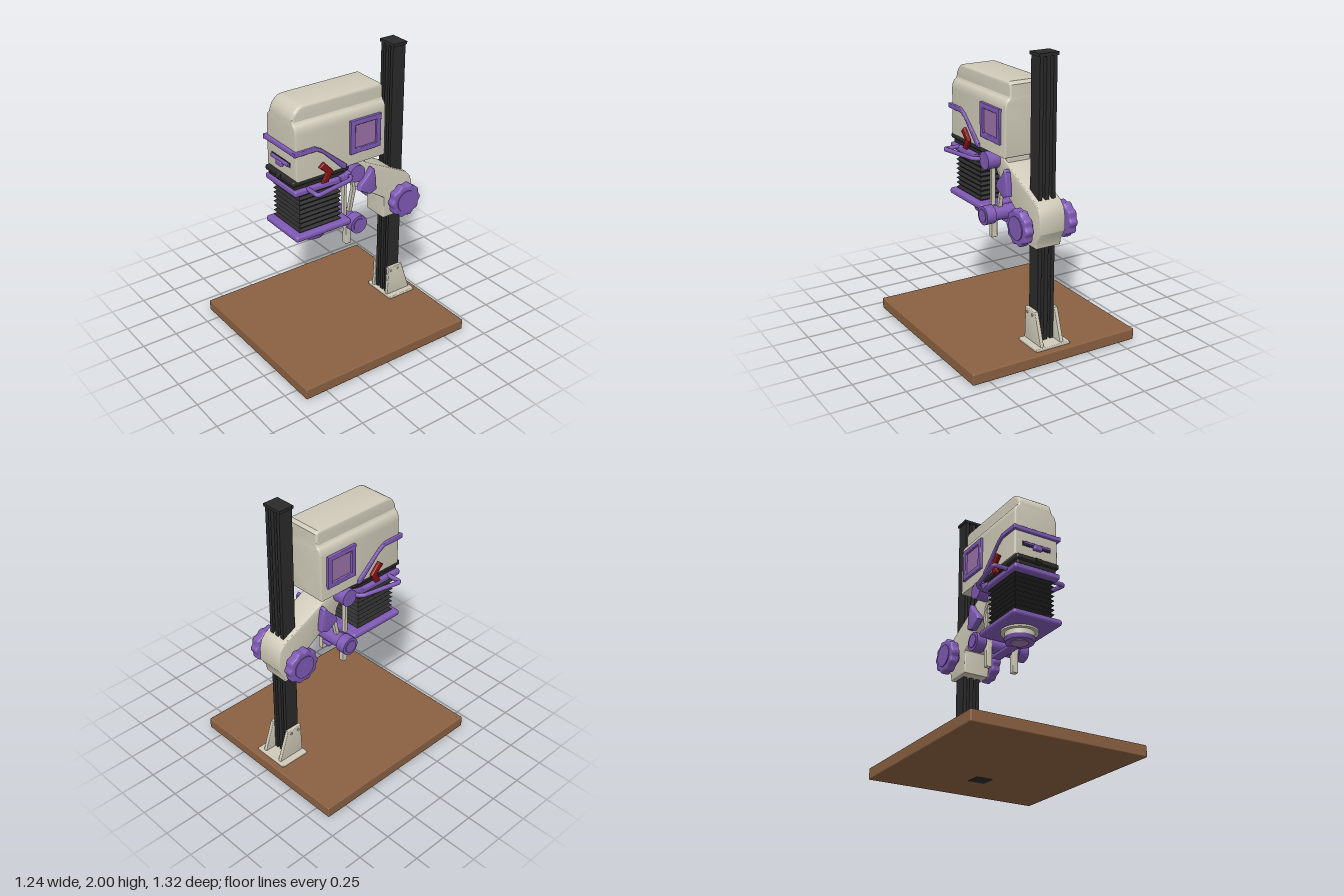
import * as THREE from 'three';
import { toCreasedNormals } from 'three/addons/utils/BufferGeometryUtils.js';
import { RoundedBoxGeometry } from 'three/addons/geometries/RoundedBoxGeometry.js';

const paint = (name, color) => {
  const m = new THREE.MeshStandardMaterial({ color });
  m.name = name;
  return m;
};

export function createModel() {
  const root = new THREE.Group();
  root.name = 'enlarger';
  const wood = paint('wood', 0x8b6142);
  const cream = paint('cream', 0xcfcab8);
  const black = paint('black', 0x2a2a2a);
  const purple = paint('purple', 0x7f5ab5);
  const lilac = paint('lilac', 0x9a72a6);
  const red = paint('red', 0x8a1216);

  const add = (name, geo, mat) => {
    const m = new THREE.Mesh(geo, mat);
    m.name = name;
    root.add(m);
    return m;
  };
  // Box from its limits, with optional rounded edges
  const box = (name, mat, x0, x1, y0, y1, z0, z1, r = 0) => {
    const s = [x1 - x0, y1 - y0, z1 - z0];
    const g = r ? new RoundedBoxGeometry(...s, 2, r) : new THREE.BoxGeometry(...s);
    return add(name, g.translate((x0 + x1) / 2, (y0 + y1) / 2, (z0 + z1) / 2), mat);
  };
  const extrude = (shape, depth, b) => toCreasedNormals(new THREE.ExtrudeGeometry(shape, {
    depth: depth - 2 * b, bevelEnabled: b > 0, bevelSize: b, bevelThickness: b,
    bevelOffset: -b, bevelSegments: 3, curveSegments: 8,
  }).translate(0, 0, b), 0.6);
  const poly = (pts) => new THREE.Shape(pts.map(([a, b]) => new THREE.Vector2(a, b)));
  // Side outline given as [z, y], spanning x0 to x1
  const sidePlate = (name, mat, pts, x0, x1, b = 0) =>
    add(name, extrude(poly(pts.map(([z, y]) => [-z, y])), x1 - x0, b).rotateY(Math.PI / 2).translate(x0, 0, 0), mat);
  // Cylinder lying along x
  const axle = (name, mat, r, x0, x1, y, z) =>
    add(name, new THREE.CylinderGeometry(r, r, x1 - x0, 28).rotateZ(Math.PI / 2).translate((x0 + x1) / 2, y, z), mat);
  const disc = (name, mat, rTop, rBottom, y0, y1, z) =>
    add(name, new THREE.CylinderGeometry(rTop, rBottom, y1 - y0, 36).translate(0, (y0 + y1) / 2, z), mat);
  const sides = (f) => [1, -1].forEach((s) => f(s, (a, b) => (s > 0 ? [a, b] : [-b, -a])));

  // Baseboard with a fixing plate below
  box('baseboard', wood, -0.62, 0.62, 0.002, 0.08, -0.66, 0.66, 0.008);
  box('fixingPlate', black, -0.06, 0.06, 0, 0.006, -0.34, -0.23);

  // Column of three rails with a cap
  for (const [a, b] of [[-0.062, -0.036], [-0.015, 0.015], [0.036, 0.062]])
    box('columnRail', black, a, b, 0.1, 1.985, -0.52, -0.42);
  box('columnCap', black, -0.072, 0.072, 1.98, 2, -0.525, -0.415);

  // Column foot
  box('footPlate', cream, -0.13, 0.13, 0.08, 0.1, -0.62, -0.4, 0.006);
  sides((s, m) => {
    sidePlate('footGusset', cream, [[-0.405, 0.095], [-0.415, 0.32], [-0.53, 0.32], [-0.605, 0.095]], ...m(0.062, 0.088), 0.005);
    for (const z of [-0.44, -0.5]) axle('footBolt', cream, 0.01, ...m(0.088, 0.094), 0.29, z);
  });

  // Lamp head: shouldered lower casing and a narrower raised cover
  const casing = new THREE.Shape();
  casing.moveTo(-0.167, 1.3);
  casing.lineTo(0.167, 1.3);
  casing.lineTo(0.165, 1.61);
  casing.quadraticCurveTo(0.165, 1.655, 0.145, 1.675);
  casing.quadraticCurveTo(0.128, 1.685, 0.127, 1.71);
  casing.lineTo(-0.127, 1.71);
  casing.quadraticCurveTo(-0.128, 1.685, -0.145, 1.675);
  casing.quadraticCurveTo(-0.165, 1.655, -0.165, 1.61);
  add('headCasing', extrude(casing, 0.7, 0.012).translate(0, 0, -0.29), cream);
  const cover = [[-0.29, 1.32], [0.405, 1.32], [0.41, 1.69]];
  for (let i = 1; i <= 8; i++) {
    const a = (i / 8) * Math.PI / 2;
    cover.push([0.31 + 0.1 * Math.cos(a), 1.69 + 0.1 * Math.sin(a)]);
  }
  cover.push([-0.27, 1.79], [-0.29, 1.77]);
  sidePlate('headCover', cream, cover, -0.13, 0.13, 0.018);

  // Trim rail round the head, side windows and red levers
  box('frontTrim', purple, -0.18, 0.18, 1.48, 1.512, 0.405, 0.43, 0.008);
  sides((s, m) => {
    sidePlate('sideTrim', purple, [[0.43, 1.48], [0.43, 1.512], [0.27, 1.512], [0.22, 1.485], [0.03, 1.325],
      [0.03, 1.295], [0.06, 1.3], [0.21, 1.45], [0.26, 1.48]], ...m(0.16, 0.183), 0.006);
    const frame = poly([[0, 1.38], [0.24, 1.38], [0.24, 1.612], [0, 1.612]]);
    frame.holes.push(new THREE.Path([[0.037, 1.415], [0.037, 1.577], [0.203, 1.577], [0.203, 1.415]]
      .map(([a, b]) => new THREE.Vector2(a, b))));
    add('windowFrame', extrude(frame, 0.025, 0.005).rotateY(Math.PI / 2).translate(m(0.16, 0.185)[0], 0, 0), purple);
    box('windowPane', lilac, ...m(0.164, 0.171), 1.4, 1.59, -0.215, -0.02);
    sidePlate('redLever', red, [[0.245, 1.36], [0.21, 1.39], [0.14, 1.315], [0.18, 1.245], [0.225, 1.245], [0.19, 1.31]],
      ...m(0.165, 0.19), 0.006);
  });

  // Front pull
  box('frontPull', purple, -0.1, 0.1, 1.385, 1.405, 0.41, 0.43, 0.005);
  box('frontPullGrip', purple, -0.032, 0.032, 1.36, 1.395, 0.41, 0.438, 0.008);
  box('frontPullSlot', black, -0.107, 0.107, 1.378, 1.411, 0.408, 0.413);

  // Negative stage: black carrier over a purple tray with side handles
  box('upperCarrier', black, -0.163, 0.163, 1.265, 1.302, 0.0, 0.432, 0.012);
  box('lowerCarrier', black, -0.15, 0.15, 1.235, 1.27, 0.02, 0.415, 0.01);
  axle('carrierCatch', black, 0.022, -0.02, 0.02, 1.28, 0.425);
  box('stageTray', purple, -0.175, 0.175, 1.195, 1.238, 0.0, 0.425, 0.014);
  sides((s) => {
    const path = new THREE.CurvePath();
    const p = [[0.16, 0.0], [0.2, 0.01], [0.222, 0.04], [0.272, 0.31], [0.26, 0.322], [0.16, 0.322]]
      .map(([x, z]) => new THREE.Vector3(s * x, 1.228, z));
    for (let i = 1; i < p.length; i++) path.add(new THREE.LineCurve3(p[i - 1], p[i]));
    add('stageHandle', new THREE.TubeGeometry(path, 60, 0.015, 10), purple);
    sidePlate('handleBracket', purple, [[0.08, 1.21], [0.08, 1.24], [-0.04, 1.265], [-0.05, 1.2]], ...(s > 0 ? [0.14, 0.18] : [-0.18, -0.14]), 0.006);
    // Stage pivot knobs
    axle('pivotKnob', purple, 0.06, ...(s > 0 ? [0.09, 0.185] : [-0.185, -0.09]), 1.23, -0.055);
  });

  // Bellows: stacked square pleats
  const pleats = 9, h = 0.3 / pleats;
  for (let i = 0; i < pleats; i++) {
    for (const up of [0, 1]) {
      const rOut = 0.165 * Math.SQRT2, rIn = 0.147 * Math.SQRT2;
      const g = new THREE.CylinderGeometry(up ? rIn : rOut, up ? rOut : rIn, h / 2, 4, 1, true, Math.PI / 4);
      g.scale(0.92, 1, 1).translate(0, 0.905 + (i + 0.25 + up * 0.5) * h, 0.218);
      add('bellowsPleat', toCreasedNormals(g, 0.3), black);
    }
  }

  // Lens stage, lens and filter arm
  box('lensStage', purple, -0.185, 0.185, 0.868, 0.912, -0.01, 0.425, 0.018);
  disc('lensFlange', cream, 0.125, 0.125, 0.855, 0.87, 0.2);
  disc('lensBarrel', cream, 0.1, 0.1, 0.81, 0.86, 0.2);
  disc('lensRing', purple, 0.105, 0.095, 0.79, 0.818, 0.2);
  disc('lensGlass', lilac, 0.06, 0.06, 0.786, 0.792, 0.2);
  box('filterArm', purple, -0.035, 0.035, 0.782, 0.808, -0.1, 0.13, 0.008);

  // Focus shaft and guide rods
  axle('focusShaft', purple, 0.05, -0.15, 0.15, 0.855, -0.06);
  sides((s, m) => {
    axle('focusKnob', purple, 0.064, ...m(0.13, 0.2), 0.855, -0.06);
    axle('focusKnobFace', purple, 0.045, ...m(0.19, 0.206), 0.855, -0.06);
    box('guidePost', cream, ...m(0.08, 0.122), 0.68, 0.87, -0.05, -0.01, 0.006);
    box('guideRod', cream, ...m(0.08, 0.11), 0.9, 1.24, -0.022, -0.002);
    sidePlate('supportLink', cream, [[-0.02, 1.2], [-0.055, 1.2], [-0.11, 1.11], [-0.115, 1.06], [-0.075, 0.88],
      [-0.05, 0.88], [-0.088, 1.07], [-0.08, 1.12]], ...m(0.06, 0.09), 0.004);
  });

  // Carrying arm and column clamp
  box('headMount', cream, -0.085, 0.085, 1.2, 1.315, -0.19, -0.01, 0.008);
  sidePlate('carryingArm', cream, [[-0.03, 1.27], [-0.13, 1.27], [-0.22, 1.22], [-0.54, 1.06], [-0.575, 1.02], [-0.59, 0.96],
    [-0.59, 0.87], [-0.545, 0.8], [-0.54, 0.76], [-0.35, 0.76], [-0.345, 0.92], [-0.15, 1.05], [-0.105, 1.08],
    [-0.09, 1.14], [-0.04, 1.2]], -0.095, 0.095, 0.008);

  // Scalloped height wheels and arm locks
  const rim = [];
  for (let i = 0; i < 80; i++) {
    const a = (i / 80) * Math.PI * 2, r = 0.116 + 0.006 * Math.cos(10 * a);
    rim.push([-0.467 + r * Math.cos(a), 0.9 + r * Math.sin(a)]);
  }
  sides((s, m) => {
    axle('wheelAxle', purple, 0.042, ...m(0.09, 0.15), 0.9, -0.467);
    sidePlate('heightWheel', purple, rim, ...m(0.133, 0.196), 0.012);
    axle('wheelHub', purple, 0.078, ...m(0.19, 0.202), 0.9, -0.467);
    sidePlate('armLock', purple, [[-0.11, 1.06], [-0.125, 1.1], [-0.19, 1.165], [-0.215, 1.205], [-0.235, 1.19],
      [-0.25, 1.11], [-0.255, 1.03], [-0.2, 1.01]], ...m(0.09, 0.135), 0.01);
  });
  return root;
}
